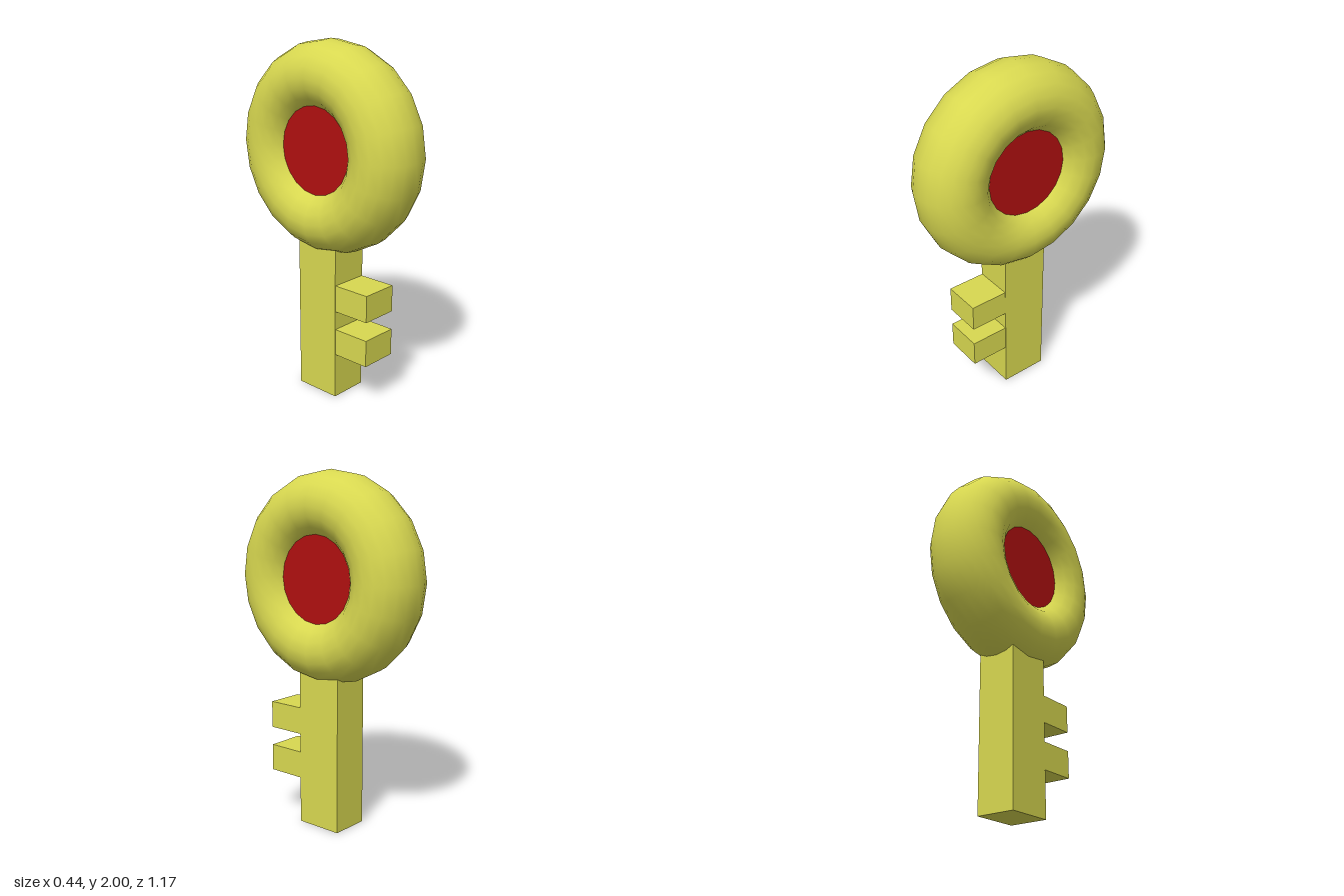
import * as THREE from 'three';

const yellow = new THREE.MeshStandardMaterial({ color: 0xd8d850 });
const red = new THREE.MeshStandardMaterial({ color: 0xb01010 });

export function createModel() {
  const key = new THREE.Group();
  key.name = 'key';

  const add = (parent, name, geometry, material, x, y, z) => {
    const mesh = new THREE.Mesh(geometry, material);
    mesh.name = name;
    mesh.position.set(x, y, z);
    parent.add(mesh);
    return mesh;
  };

  // Round head: a ring facing sideways, turned by a hair, with a red inset
  const head = new THREE.Group();
  head.name = 'head';
  head.position.set(0, 1.417, 0);
  head.rotation.y = -0.013;
  key.add(head);

  // Ring tube is a little wider than it is deep
  const ring = new THREE.TorusGeometry(0.394, 0.19, 20, 20);
  ring.scale(1, 1, 1.12).rotateZ(Math.PI / 2).rotateY(Math.PI / 2);
  add(head, 'ring', ring, yellow, 0, 0, 0);

  // Disc filling the hole; its edge is buried in the ring
  const disc = new THREE.CylinderGeometry(0.26, 0.26, 0.256, 32).rotateZ(Math.PI / 2);
  add(head, 'inset', disc, red, 0, 0.008, 0);

  // Shaft, running up into the ring
  add(key, 'shaft', new THREE.BoxGeometry(0.226, 0.96, 0.275), yellow, 0, 0.48, -0.002);

  // Two teeth on the front, starting inside the shaft
  for (const [name, y] of [['lowerTooth', 0.34], ['upperTooth', 0.602]]) {
    add(key, name, new THREE.BoxGeometry(0.22, 0.154, 0.26), yellow, 0, y, 0.229);
  }

  return key;
}
